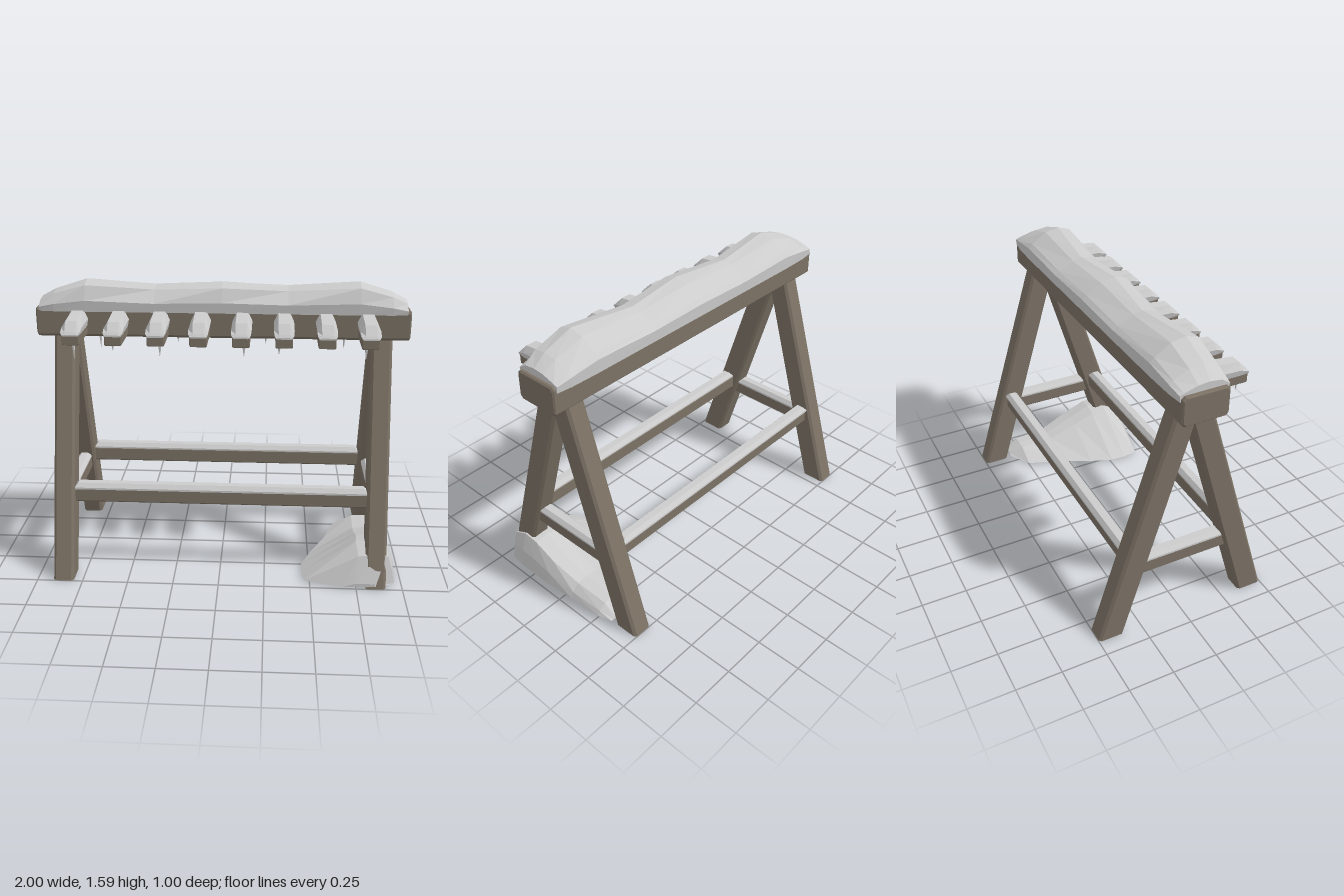
import * as THREE from 'three';

const wood = new THREE.MeshStandardMaterial({ color: 0x7c7265, flatShading: true });
const snow = new THREE.MeshStandardMaterial({ color: 0xcccccc, flatShading: true });

// Skins a list of equal-length rings, closes both ends and turns the faces outward.
function loft(rings) {
  const n = rings[0].length, tris = [];
  for (let r = 0; r < rings.length - 1; r++) {
    for (let i = 0; i < n; i++) {
      const j = (i + 1) % n, a = rings[r], b = rings[r + 1];
      tris.push([a[i], a[j], b[j]], [a[i], b[j], b[i]]);
    }
  }
  const last = rings[rings.length - 1];
  for (let i = 1; i < n - 1; i++) {
    tris.push([rings[0][0], rings[0][i + 1], rings[0][i]], [last[0], last[i], last[i + 1]]);
  }
  let volume = 0;
  for (const [a, b, c] of tris) {
    volume += a[0] * (b[1] * c[2] - b[2] * c[1]) + a[1] * (b[2] * c[0] - b[0] * c[2]) + a[2] * (b[0] * c[1] - b[1] * c[0]);
  }
  if (volume < 0) tris.forEach((t) => t.reverse());
  const geo = new THREE.BufferGeometry();
  geo.setAttribute('position', new THREE.Float32BufferAttribute(tris.flat(2), 3));
  geo.computeVertexNormals();
  return geo;
}

// Rectangle outline with cut corners, half sizes u and v.
const octagon = (u, v, c) => [
  [u, c - v], [u, v - c], [u - c, v], [c - u, v], [-u, v - c], [-u, c - v], [c - u, -v], [u - c, -v],
];

// Chamfered timber along x, centred on the origin.
function timber(length, height, depth, c) {
  const ring = (x, s) => octagon(height / 2 - s, depth / 2 - s, c).map(([y, z]) => [x, y, z]);
  const h = length / 2, e = c * 0.5;
  return loft([ring(-h, e), ring(-h + e, 0), ring(h - e, 0), ring(h, e)]);
}

// Thin snow strip along x with sloping sides, resting on y = 0.
function strip(length, depth, height, inset) {
  const ring = (y, s) => [[-1, -1], [1, -1], [1, 1], [-1, 1]].map(([x, z]) => [x * (length / 2 - s), y, z * (depth / 2 - s)]);
  return loft([ring(-0.005, 0), ring(height * 0.2, 0), ring(height, inset)]);
}

export function createModel() {
  const model = new THREE.Group();
  const add = (name, geo, mat, x = 0, y = 0, z = 0, ry = 0) => {
    const mesh = new THREE.Mesh(geo, mat);
    mesh.name = name;
    mesh.position.set(x, y, z);
    mesh.rotation.y = ry;
    model.add(mesh);
    return mesh;
  };

  // Top beam
  add('topBeam', timber(2, 0.16, 0.25, 0.015), wood, 0, 1.37, 0);

  // Splayed legs with level feet
  for (const sx of [-1, 1]) {
    for (const sz of [-1, 1]) {
      const ring = (y, zc, hz) => octagon(0.056, hz, 0.014).map(([x, z]) => [sx * 0.855 + x, y, sz * (zc + z)]);
      add(`${sz > 0 ? 'front' : 'back'}${sx > 0 ? 'Left' : 'Right'}Leg`,
        loft([ring(0, 0.427, 0.072), ring(1.32, 0.027, 0.066)]), wood);
    }
    // Side rails joining front and back legs
    add('sideRail', timber(0.56, 0.085, 0.07, 0.008), wood, sx * 0.855, 0.4, 0, Math.PI / 2);
    add('sideRailSnow', strip(0.45, 0.075, 0.027, 0.018), snow, sx * 0.855, 0.44, 0, Math.PI / 2);
  }

  // Long rails
  for (const sz of [-1, 1]) {
    add('longRail', timber(1.62, 0.085, 0.07, 0.008), wood, 0, 0.443, sz * 0.29);
    add('longRailSnow', strip(1.6, 0.075, 0.028, 0.018), snow, 0, 0.483, sz * 0.295);
  }

  // Snow drift along the beam: [x, crest height, crest z, width scale]
  const crest = [
    [-0.98, 1.49, 0.03, 0.9], [-0.9, 1.535, 0.045, 0.97], [-0.73, 1.59, 0.05, 1], [-0.36, 1.56, 0.02, 1],
    [0, 1.58, 0.05, 1], [0.35, 1.56, 0.02, 1], [0.73, 1.59, 0.05, 1], [0.9, 1.535, 0.045, 0.97], [0.98, 1.49, 0.03, 0.9],
  ];
  add('beamSnow', loft(crest.map(([x, top, zc, w]) => {
    const h = top - 1.43;
    return [
      [0.138 * w, 1.43], [0.143 * w, 1.43 + h * 0.38], [zc + 0.06 * w, 1.43 + h * 0.86], [zc - 0.01, top],
      [-0.04, 1.43 + h * 0.9], [-0.125 * w, 1.43 + h * 0.55], [-0.148 * w, 1.43 + h * 0.4], [-0.145 * w, 1.42],
    ].map(([z, y]) => [x, y, z]);
  })), snow);

  // Row of pegs, each with a snow cap: [z, shoulder height, top height, width scale]
  const pegSnow = loft([[0.1, 1.39, 1.44, 1], [0.16, 1.39, 1.435, 1], [0.3, 1.385, 1.42, 1], [0.345, 1.37, 1.375, 0.95], [0.355, 1.36, 1.362, 0.8]]
    .map(([z, mid, top, w]) => [[-0.046, 1.353], [-0.053, mid], [-0.03, top], [0.03, top], [0.053, mid], [0.046, 1.353]]
      .map(([x, y]) => [x * w, y, z])));
  const peg = timber(0.245, 0.06, 0.09, 0.006);
  for (let i = 0; i < 8; i++) {
    const x = -0.77 + 0.22 * i;
    add('peg', peg, wood, x, 1.333, 0.2225, Math.PI / 2);
    add('pegSnow', pegSnow, snow, x);
  }

  // Icicles: [x, z, root height, tip height]
  const icicles = [
    [-0.76, 0.322, 1.31, 1.225], [-0.555, 0.32, 1.31, 1.27], [-0.31, 0.322, 1.31, 1.24], [0.125, 0.322, 1.31, 1.245],
    [0.305, 0.32, 1.31, 1.26], [0.75, 0.322, 1.31, 1.24],
    [-0.665, 0.07, 1.3, 1.215], [-0.24, 0.07, 1.3, 1.25], [0.235, 0.07, 1.3, 1.25], [0.655, 0.07, 1.3, 1.225],
  ];
  for (const [x, z, root, tip] of icicles) {
    const cone = new THREE.ConeGeometry(0.01, root - tip, 5).rotateX(Math.PI);
    add('icicle', cone, snow, x, (root + tip) / 2, z);
  }

  // Snow bank around one foot: [z, left x, right x, crest left, crest right, height]
  const bank = [
    [0.495, 0.68, 0.87, 0.74, 0.85, 0.03], [0.44, 0.47, 0.96, 0.76, 0.92, 0.18], [0.35, 0.455, 0.97, 0.75, 0.92, 0.225],
    [0.26, 0.46, 0.97, 0.76, 0.92, 0.215], [0.13, 0.51, 0.97, 0.76, 0.92, 0.16], [-0.05, 0.6, 0.955, 0.77, 0.9, 0.09],
    [-0.25, 0.67, 0.945, 0.78, 0.89, 0.07], [-0.33, 0.8, 0.92, 0.83, 0.89, 0.02],
  ];
  add('snowBank', loft(bank.map(([z, l, r, cl, cr, h]) => [
    [l, 0.008], [cl, h * 0.93], [(cl + cr) / 2, h], [cr, h * 0.96], [r - 0.015, h * 0.5], [r, 0.008],
  ].map(([x, y]) => [x, y, z]))), snow);

  return model;
}
